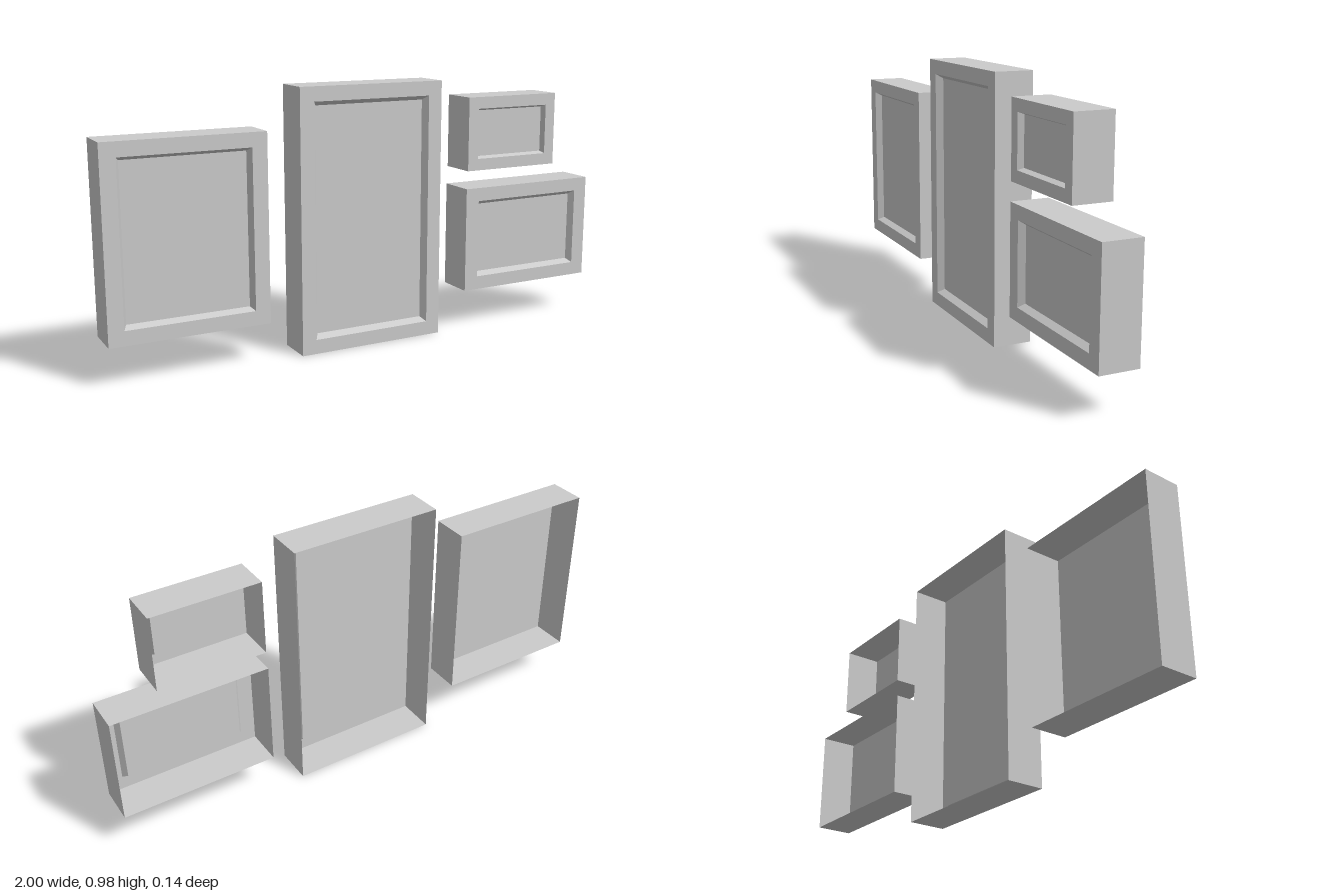
import * as THREE from 'three';

const HALF_DEPTH = 0.0725;

// Corners of a rectangle inset from the frame's outline, counter-clockwise from the front
function rectLoop(f, insetX, insetY, z) {
  const l = f.x0 + insetX, r = f.x1 - insetX;
  const b = f.y0 + insetY, t = f.y1 - insetY;
  return [[l, b, z], [r, b, z], [r, t, z], [l, t, z]];
}

// Skin consecutive loops with flat quads; optionally close the last loop
function skin(loops, capEnd = false) {
  const pos = [];
  const quad = (a, b, c, d) => pos.push(...a, ...b, ...c, ...a, ...c, ...d);
  for (let k = 0; k < loops.length - 1; k++) {
    const A = loops[k], B = loops[k + 1];
    for (let i = 0; i < 4; i++) {
      const j = (i + 1) % 4;
      quad(A[i], A[j], B[j], B[i]);
    }
  }
  if (capEnd) quad(...loops[loops.length - 1]);
  const g = new THREE.BufferGeometry();
  g.setAttribute('position', new THREE.Float32BufferAttribute(pos, 3));
  g.computeVertexNormals();
  return g;
}

export function createModel() {
  const group = new THREE.Group();
  const material = new THREE.MeshStandardMaterial({
    color: 0xcccccc, side: THREE.DoubleSide, flatShading: true,
  });

  // Outline, border widths, bevel inset and recess depth of each frame
  const frames = [
    { name: 'rightFrame', x0: -1, x1: -0.416, y0: 0.147, y1: 0.838, bx: 0.056, by: 0.053, bevel: 0.013, recess: 0.025 },
    { name: 'tallFrame', x0: -0.291, x1: 0.291, y0: 0, y1: 0.984, bx: 0.055, by: 0.054, bevel: 0.016, recess: 0.025 },
    { name: 'smallFrame', x0: 0.417, x1: 0.824, y0: 0.63, y1: 0.914, bx: 0.044, by: 0.045, bevel: 0.008, recess: 0.021 },
    { name: 'wideFrame', x0: 0.413, x1: 1, y0: 0.152, y1: 0.56, bx: 0.057, by: 0.052, bevel: 0.015, recess: 0.023 },
  ];

  for (const f of frames) {
    const back = rectLoop(f, 0, 0, -HALF_DEPTH);
    const front = rectLoop(f, 0, 0, HALF_DEPTH);
    const opening = rectLoop(f, f.bx, f.by, HALF_DEPTH);
    const inner = rectLoop(f, f.bx + f.bevel, f.by + f.bevel, HALF_DEPTH - f.recess);

    const frame = new THREE.Group();
    frame.name = f.name;
    const parts = {
      sides: skin([back, front]), // open at the back
      border: skin([front, opening]),
      bevel: skin([opening, inner]),
      picturePanel: skin([inner], true),
    };
    for (const [name, geometry] of Object.entries(parts)) {
      const mesh = new THREE.Mesh(geometry, material);
      mesh.name = name;
      frame.add(mesh);
    }
    group.add(frame);
  }
  return group;
}
